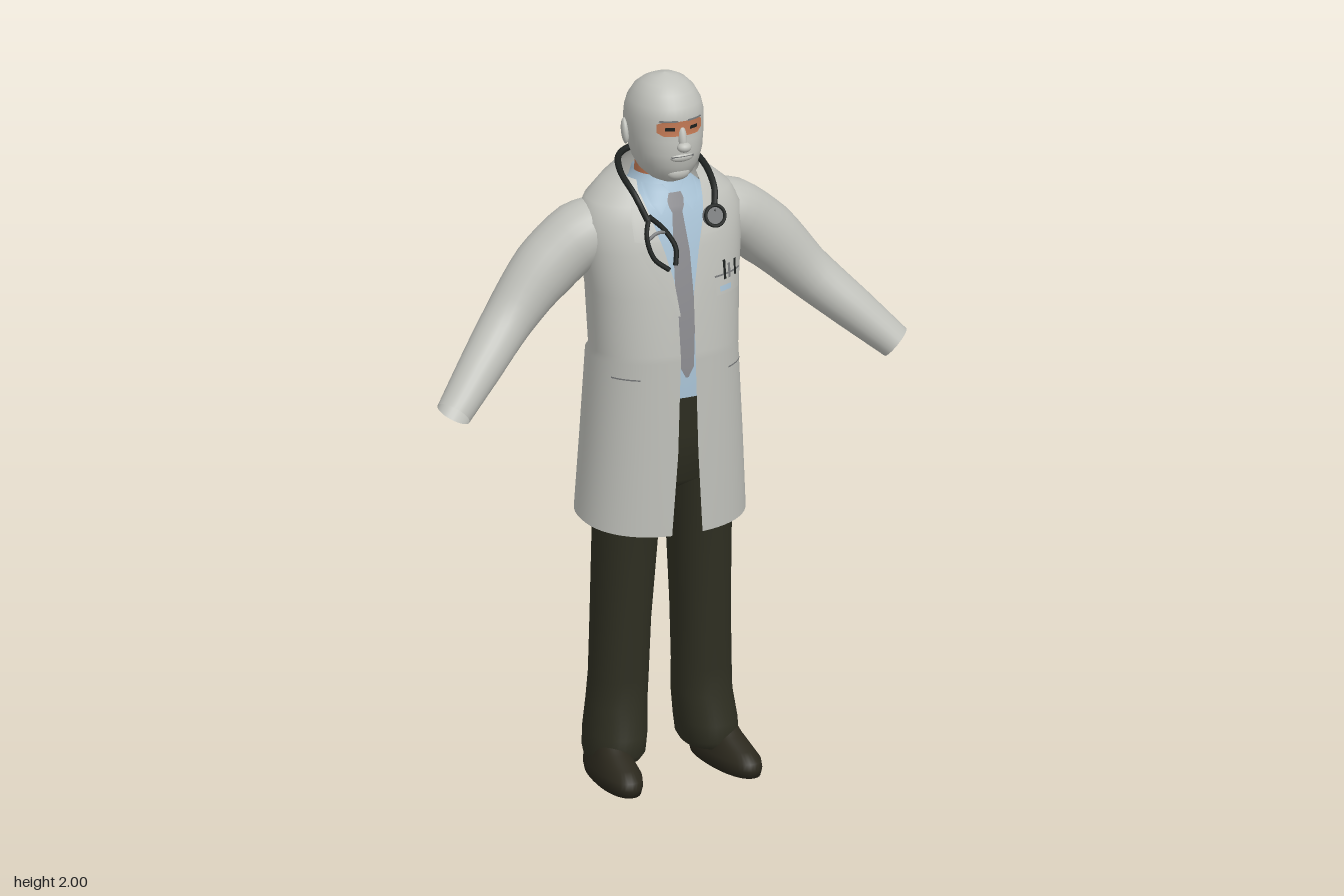
import * as THREE from 'three';

const mat = (name, color) => {
  const m = new THREE.MeshStandardMaterial({ color, side: THREE.DoubleSide });
  m.name = name;
  return m;
};

// Skin a list of rings (bottom to top) into one smooth surface
function loft(rings, closed = true) {
  const n = rings[0].length, pos = [], idx = [];
  rings.forEach(r => r.forEach(p => pos.push(p.x, p.y, p.z)));
  for (let i = 0; i < rings.length - 1; i++)
    for (let j = 0; j < (closed ? n : n - 1); j++) {
      const a = i * n + j, b = i * n + (j + 1) % n;
      idx.push(a, b, b + n, a, b + n, a + n);
    }
  const g = new THREE.BufferGeometry();
  g.setAttribute('position', new THREE.Float32BufferAttribute(pos, 3));
  g.setIndex(idx);
  g.computeVertexNormals();
  return g;
}

// Rounded cross-section: s = [y, halfWidth, zFront, zBack, frontGap, backLift]
function section(s, e = 1, cx = 0, n = 40) {
  const [y, hw, zf, zb, gap = 0, lift = 0] = s;
  const a0 = Math.asin(Math.pow(gap / hw, 1 / e));
  const pts = [], open = gap > 0;
  for (let i = 0; i < (open ? n + 1 : n); i++) {
    const a = a0 + (2 * Math.PI - 2 * a0) * i / n;
    const pw = v => Math.sign(v) * Math.pow(Math.abs(v), e);
    pts.push(new THREE.Vector3(cx + hw * pw(Math.sin(a)), y + lift * (1 - Math.cos(a)) / 2,
      (zf + zb) / 2 + (zf - zb) / 2 * pw(Math.cos(a))));
  }
  return pts;
}

// Depth of the front surface of a lofted body at (x, y)
function frontZ(secs, e, x, y) {
  let i = 0;
  while (i < secs.length - 2 && y > secs[i + 1][0]) i++;
  const t = THREE.MathUtils.clamp((y - secs[i][0]) / (secs[i + 1][0] - secs[i][0]), 0, 1);
  const [, hw, zf, zb] = secs[i].map((v, k) => THREE.MathUtils.lerp(v, secs[i + 1][k], t));
  const u = Math.min(1, Math.abs(x) / hw);
  return (zf + zb) / 2 + (zf - zb) / 2 * Math.pow(1 - Math.pow(u, 2 / e), e / 2);
}

// Thin panel following a body's front; rows = [y, x0, x1] bottom to top
function panel(rows, secs, e, off) {
  return loft(rows.map(([y, x0, x1]) => Array.from({ length: 9 }, (_, k) => {
    const x = x0 + (x1 - x0) * k / 8;
    return new THREE.Vector3(x, y, frontZ(secs, e, x, y) + off);
  })), false);
}

const HEAD = [[1.705, 0.03, 0.07, -0.03], [1.715, 0.05, 0.092, -0.055], [1.735, 0.07, 0.11, -0.08], [1.765, 0.086, 0.123, -0.095],
  [1.80, 0.096, 0.13, -0.108], [1.84, 0.102, 0.128, -0.118], [1.87, 0.104, 0.124, -0.119], [1.90, 0.103, 0.126, -0.114],
  [1.93, 0.096, 0.117, -0.102], [1.96, 0.08, 0.095, -0.08], [1.98, 0.06, 0.07, -0.053], [1.993, 0.035, 0.043, -0.025], [2, 0.001, 0.01, 0.008]];
const COAT = [[0.72, 0.235, 0.16, -0.20, 0.045, 0.04], [0.95, 0.222, 0.165, -0.19, 0.03, 0.02],
  [1.22, 0.207, 0.165, -0.182, 0.022, -0.02], [1.24, 0.205, 0.164, -0.158, 0.022, -0.02],
  [1.40, 0.213, 0.148, -0.163, 0.024, 0], [1.52, 0.228, 0.125, -0.168, 0.05, 0], [1.60, 0.232, 0.10, -0.165, 0.075, 0],
  [1.645, 0.205, 0.08, -0.155, 0.085, 0.01], [1.68, 0.155, 0.055, -0.14, 0.092, 0.025], [1.70, 0.115, 0.045, -0.115, 0.088, 0.045]];
const SHIRT = [[1.08, 0.17, 0.148, -0.13], [1.25, 0.18, 0.152, -0.13], [1.40, 0.185, 0.137, -0.14], [1.52, 0.19, 0.115, -0.14],
  [1.60, 0.18, 0.096, -0.135], [1.65, 0.13, 0.078, -0.12], [1.69, 0.085, 0.06, -0.1], [1.72, 0.075, 0.05, -0.095]];
const LEG = [[0.05, 0.07, 0.075, -0.115], [0.07, 0.078, 0.088, -0.124], [0.12, 0.08, 0.088, -0.126], [0.2, 0.079, 0.066, -0.118],
  [0.28, 0.077, 0.072, -0.112], [0.45, 0.077, 0.08, -0.114], [0.72, 0.084, 0.1, -0.112], [0.9, 0.09, 0.125, -0.12]];
const LEG_X = [0.142, 0.138, 0.134, 0.126, 0.123, 0.118, 0.108, 0.094];
const SHOE = [[0, 0.001, 0.05, 0.04], [0, 0.055, 0.198, -0.118], [0.02, 0.06, 0.204, -0.12], [0.04, 0.059, 0.198, -0.118],
  [0.062, 0.05, 0.16, -0.112], [0.085, 0.045, 0.1, -0.1], [0.11, 0.04, 0.06, -0.09]];

export function createModel() {
  const M = {
    cloth: mat('pale grey', 0xc0c1bb), trousers: mat('dark olive', 0x2f2f22), shoe: mat('dark brown', 0x2b281d),
    shirt: mat('light blue', 0xa9c3d6), tie: mat('tie grey', 0x8b8b8f), skin: mat('orange skin', 0xc47a55),
    black: mat('soft black', 0x1d211f), metal: mat('dull metal', 0x77797a),
  };
  const root = new THREE.Group();
  const add = (name, geo, material) => {
    const m = new THREE.Mesh(geo, material);
    m.name = name;
    root.add(m);
    return m;
  };
  const ball = (name, x, y, z, sx, sy, sz, material) => {
    const m = add(name, new THREE.SphereGeometry(1, 20, 14), material);
    m.position.set(x, y, z);
    m.scale.set(sx, sy, sz);
    return m;
  };
  const tube = (name, pts, r, material) => add(name, new THREE.TubeGeometry(
    new THREE.CatmullRomCurve3(pts.map(p => new THREE.Vector3(...p))), 48, r, 8), material);

  // Head and neck
  add('head', loft(HEAD.map(s => section(s, 0.95))), M.cloth);
  add('neck', loft([[1.62, 0.072, 0.045, -0.09], [1.70, 0.07, 0.05, -0.088], [1.77, 0.07, 0.06, -0.085]].map(s => section(s))), M.skin);
  add('eyeBand', panel([[1.856, -0.05, 0.05], [1.866, -0.066, 0.066], [1.89, -0.066, 0.066], [1.898, -0.05, 0.05]], HEAD, 0.95, 0.003), M.skin);
  add('mouth', panel([[1.793, -0.032, 0.032], [1.799, -0.034, 0.034]], HEAD, 0.95, 0.004), M.metal);
  ball('noseBridge', 0, 1.85, 0.126, 0.012, 0.04, 0.014, M.cloth).rotation.x = -0.25;
  ball('noseTip', 0, 1.826, 0.138, 0.02, 0.014, 0.017, M.cloth);
  ball('lips', 0, 1.793, 0.122, 0.034, 0.013, 0.012, M.cloth);
  ball('chin', 0, 1.742, 0.098, 0.034, 0.022, 0.02, M.cloth);
  for (const s of [-1, 1]) {
    ball('ear', s * 0.104, 1.838, -0.018, 0.011, 0.036, 0.021, M.cloth).rotation.set(-0.2, s * 0.3, 0);
    add('eye', panel([[1.872, s * 0.035 - 0.013, s * 0.035 + 0.013], [1.882, s * 0.035 - 0.012, s * 0.035 + 0.012]], HEAD, 0.95, 0.005), M.black);
    add('brow', panel([[1.897, s * 0.038 - 0.026, s * 0.038 + 0.026], [1.902, s * 0.038 - 0.022, s * 0.038 + 0.022]], HEAD, 0.95, 0.005), M.metal);
  }

  // Shirt, collar and tie
  add('shirt', loft(SHIRT.map(s => section(s, 0.9))), M.shirt);
  add('tie', panel([[1.17, -0.004, 0.004], [1.20, -0.02, 0.02], [1.35, -0.028, 0.028], [1.52, -0.024, 0.024],
    [1.625, -0.015, 0.015], [1.64, -0.022, 0.022], [1.675, -0.026, 0.026]], SHIRT, 0.9, 0.007), M.tie);
  for (const s of [-1, 1])
    add('shirtCollar', panel([[1.625, s * 0.045, s * 0.05], [1.65, s * 0.028, s * 0.072], [1.68, s * 0.016, s * 0.078],
      [1.70, s * 0.03, s * 0.076]], SHIRT, 0.9, 0.01), M.shirt);

  // Open coat with lapels and side pockets
  add('coat', loft(COAT.map(s => section(s, 0.88, 0, 56)), false), M.cloth);
  for (const s of [-1, 1]) {
    add('lapel', panel([[1.35, s * 0.02, s * 0.026], [1.45, s * 0.033, s * 0.08], [1.53, s * 0.053, s * 0.122],
      [1.555, s * 0.06, s * 0.105], [1.56, s * 0.062, s * 0.13], [1.62, s * 0.078, s * 0.13], [1.675, s * 0.09, s * 0.115]], COAT, 0.88, 0.007), M.cloth);
    add('pocketSlit', panel([[1.172, s * 0.13, s * 0.19], [1.176, s * 0.13, s * 0.19]], COAT, 0.88, 0.004), M.metal);
  }

  // Breast pocket with pens and a badge
  add('breastPocket', panel([[1.385, 0.095, 0.18], [1.44, 0.09, 0.185]], COAT, 0.88, 0.006), M.cloth);
  add('badge', panel([[1.395, 0.105, 0.145], [1.41, 0.105, 0.145]], COAT, 0.88, 0.009), M.shirt);
  add('pocketHem', panel([[1.436, 0.09, 0.185], [1.441, 0.09, 0.185]], COAT, 0.88, 0.008), M.metal);
  [[0.125, 1.478], [0.142, 1.465], [0.165, 1.47]].forEach(([x, y], i) =>
    add('pen', panel([[1.425, x - 0.004, x + 0.004], [y, x - 0.005, x + 0.004]], COAT, 0.88, 0.009), i === 1 ? M.metal : M.black));

  // Sleeves: centre x, y, z, then radius up and radius sideways
  const ARM = [[0.13, 1.575, -0.05, 0.075, 0.085], [0.22, 1.545, -0.055, 0.092, 0.095], [0.33, 1.46, -0.055, 0.09, 0.085],
    [0.44, 1.345, -0.035, 0.071, 0.07], [0.55, 1.24, 0.02, 0.06, 0.061], [0.655, 1.14, 0.075, 0.047, 0.05]];
  for (const s of [-1, 1]) {
    const curve = new THREE.CatmullRomCurve3(ARM.map(a => new THREE.Vector3(s * a[0], a[1], a[2])));
    const rings = [];
    for (let i = 0; i <= 20; i++) {
      const t = i / 20, k = Math.min(4, Math.floor(t * 5)), f = t * 5 - k;
      const ru = THREE.MathUtils.lerp(ARM[k][3], ARM[k + 1][3], f), rs = THREE.MathUtils.lerp(ARM[k][4], ARM[k + 1][4], f);
      const c = curve.getPoint(t), T = curve.getTangent(t);
      const up = new THREE.Vector3(0, 1, 0).addScaledVector(T, -T.y).normalize();
      const side = new THREE.Vector3().crossVectors(T, up);
      rings.push(Array.from({ length: 24 }, (_, j) => {
        const a = j * Math.PI / 12;
        return c.clone().addScaledVector(up, ru * Math.cos(a)).addScaledVector(side, rs * Math.sin(a));
      }));
    }
    add('sleeve', loft(rings), M.cloth);
    // Recessed lining inside the cuff
    const rim = rings[19], mid = curve.getPoint(0.95);
    add('cuffLining', loft([rim, rim.map(() => mid.clone())]), M.metal);
  }

  // Trousers and shoes
  add('trouserSeat', loft([[0.82, 0.06, 0.06, -0.06], [0.86, 0.165, 0.12, -0.12], [1.0, 0.178, 0.14, -0.135],
    [1.11, 0.174, 0.152, -0.134]].map(s => section(s, 0.9))), M.trousers);
  for (const s of [-1, 1]) {
    add('trouserLeg', loft(LEG.map((l, i) => section(l, 0.9, s * LEG_X[i]))), M.trousers);
    const shoe = add('shoe', loft(SHOE.map(l => section(l, 0.9))), M.shoe);
    shoe.position.x = s * 0.163;
    shoe.rotation.y = s * 0.09;
  }

  // Stethoscope: neck hose, ear tubes and chest piece
  tube('neckHose', [[-0.095, 1.62, 0.108], [-0.115, 1.68, 0.075], [-0.118, 1.725, -0.02], [-0.08, 1.742, -0.1], [0, 1.748, -0.128],
    [0.08, 1.742, -0.1], [0.118, 1.725, -0.02], [0.118, 1.67, 0.075], [0.1, 1.615, 0.11]], 0.009, M.black);
  tube('earTubeOuter', [[-0.09, 1.63, 0.106], [-0.105, 1.58, 0.125], [-0.09, 1.52, 0.14], [-0.05, 1.485, 0.15]], 0.007, M.black);
  tube('earTubeInner', [[-0.09, 1.63, 0.106], [-0.05, 1.59, 0.12], [-0.025, 1.54, 0.138], [-0.03, 1.495, 0.148]], 0.007, M.black);
  tube('earSpring', [[-0.1, 1.57, 0.125], [-0.075, 1.585, 0.124], [-0.045, 1.585, 0.122]], 0.005, M.metal);
  const chest = add('chestPiece', new THREE.CylinderGeometry(0.027, 0.03, 0.018, 24), M.metal);
  chest.position.set(0.1, 1.605, 0.112);
  chest.rotation.x = Math.PI / 2 - 0.35;
  const ring = add('chestPieceRim', new THREE.TorusGeometry(0.028, 0.005, 8, 24), M.black);
  ring.position.set(0.1, 1.608, 0.121);
  ring.rotation.x = -0.35;
  return root;
}
